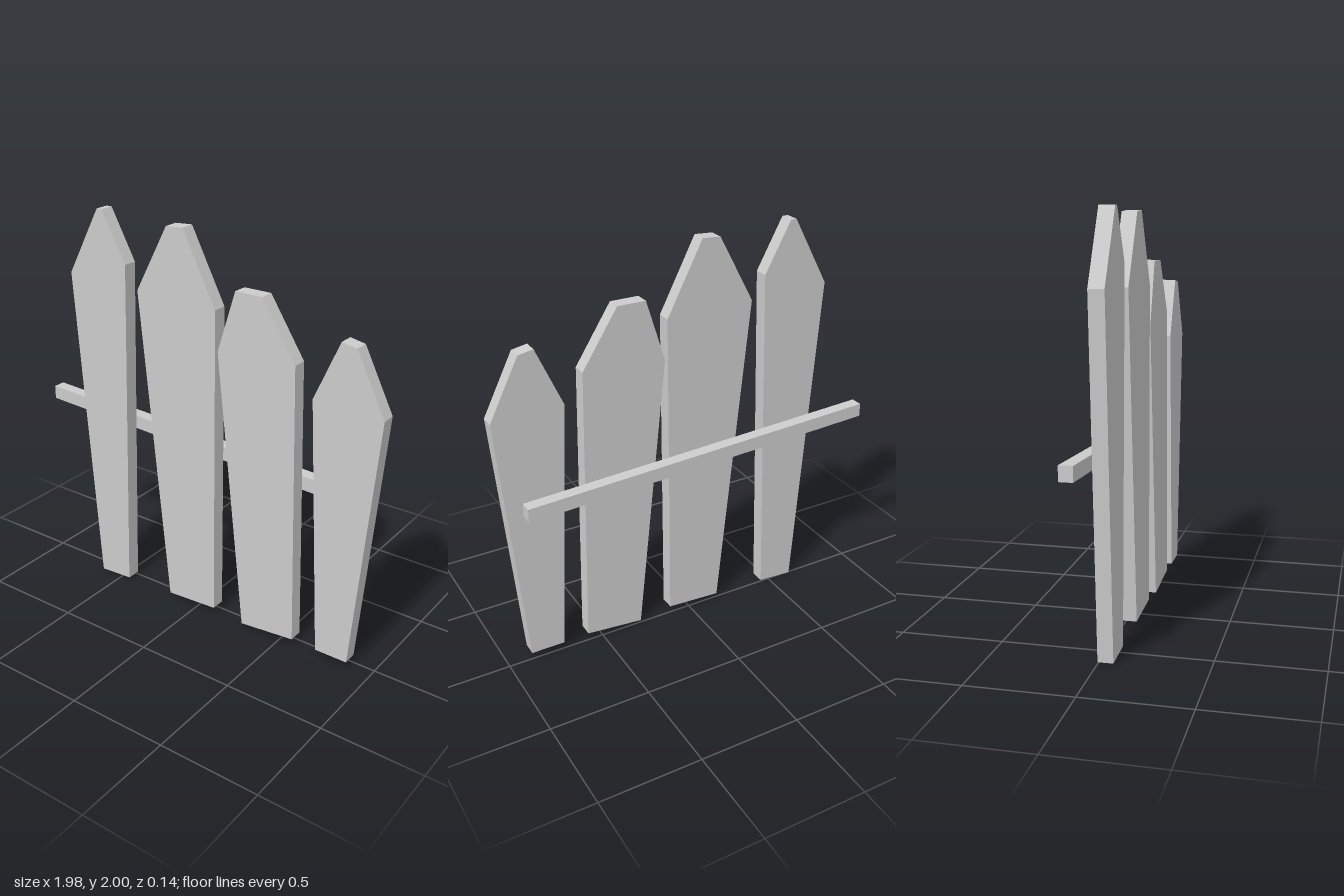
import * as THREE from 'three';

const SPLIT = -0.005; // plane where the pickets meet the rail
const HALF_DEPTH = 0.068;

// Front outlines, counter-clockwise from the lower left corner
const PICKETS = [
  [[-0.632, 0], [-0.449, 0.01], [-0.411, 1.754], [-0.545, 2], [-0.575, 2], [-0.759, 1.66]],
  [[-0.168, 0.023], [0.112, 0.038], [0.112, 1.632], [-0.07, 1.983], [-0.163, 1.977], [-0.34, 1.643]],
  [[0.285, 0.015], [0.58, 0.042], [0.542, 1.463], [0.362, 1.742], [0.22, 1.742], [0.127, 1.437]],
  [[0.712, 0.038], [0.882, 0.038], [0.987, 1.314], [0.838, 1.608], [0.763, 1.622], [0.636, 1.33]],
];
const RAIL = [[-0.99, 0.904], [0.868, 0.815], [0.868, 0.885], [-0.99, 0.973]];

// Flat plank cut from an outline, spanning z0 to z1
function plank(name, outline, z0, z1, material) {
  const shape = new THREE.Shape(outline.map(([x, y]) => new THREE.Vector2(x, y)));
  const geometry = new THREE.ExtrudeGeometry(shape, { depth: z1 - z0, bevelEnabled: false });
  geometry.translate(0, 0, z0);
  const mesh = new THREE.Mesh(geometry, material);
  mesh.name = name;
  return mesh;
}

export function createModel() {
  const group = new THREE.Group();
  group.name = 'picketFence';
  const material = new THREE.MeshStandardMaterial({ color: 0xcccccc, flatShading: true });

  // Crooked pointed pickets in front
  PICKETS.forEach((outline, i) => {
    group.add(plank(`picket${i + 1}`, outline, SPLIT, HALF_DEPTH, material));
  });

  // Sloping rail behind them
  group.add(plank('rail', RAIL, -HALF_DEPTH, SPLIT, material));
  return group;
}
